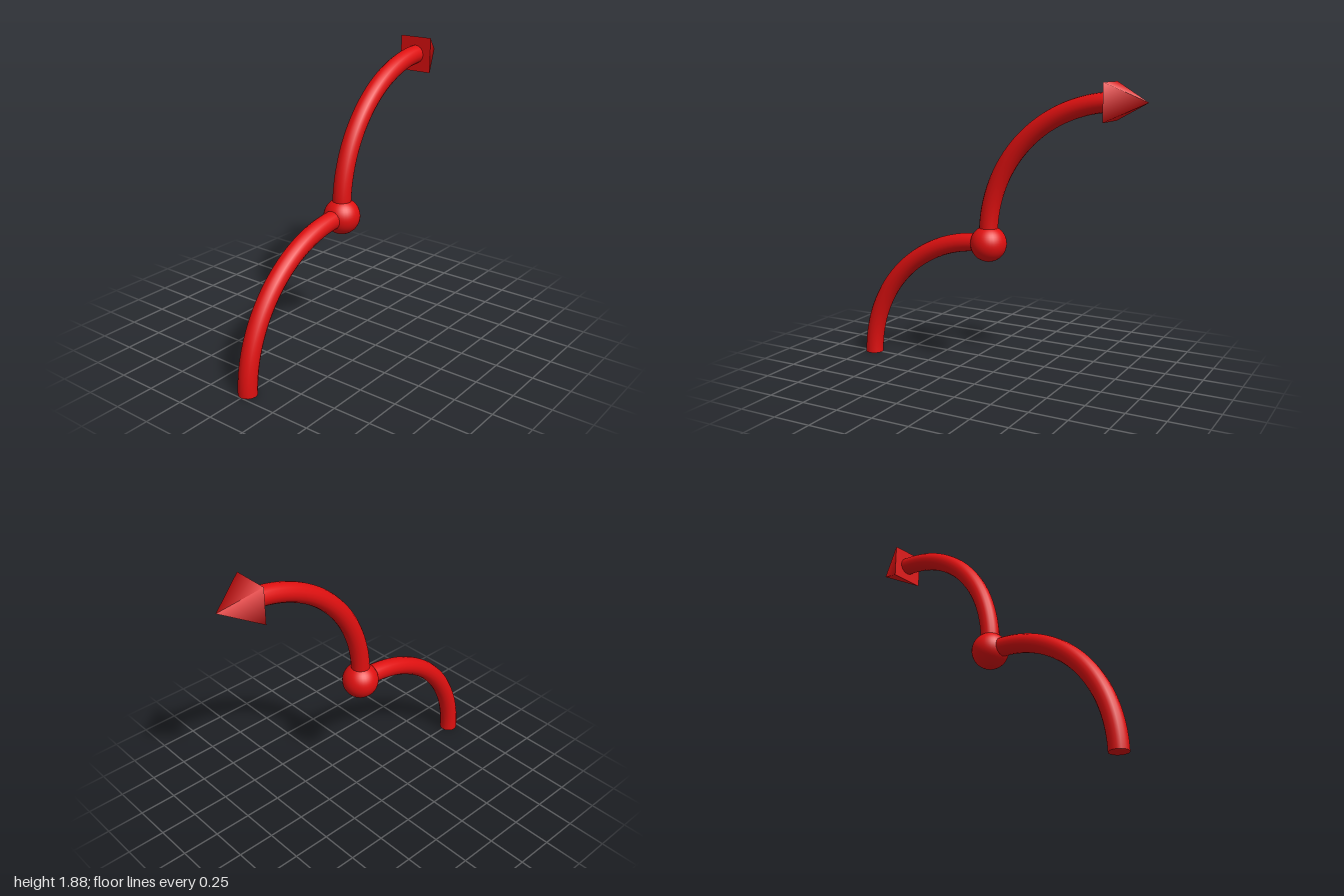
import * as THREE from 'three';

const BEND = 0.855; // radius of both quarter bends
const TUBE = 0.06;

export function createModel() {
  const red = new THREE.MeshStandardMaterial({ color: 0xe01010 });
  red.name = 'red';
  const model = new THREE.Group();
  model.name = 'curvedArrow';

  const add = (parent, name, geometry, x, y) => {
    const mesh = new THREE.Mesh(geometry, red);
    mesh.name = name;
    mesh.position.set(x, y, 0);
    parent.add(mesh);
    return mesh;
  };

  // Quarter bend around a centre, from pointing up on the left to level at the top
  const addBend = (name, x, y) => {
    const bend = new THREE.Group();
    bend.name = name;
    bend.position.set(x, y, 0);
    const arc = new THREE.TorusGeometry(BEND, TUBE, 16, 48, Math.PI / 2).rotateZ(Math.PI / 2);
    add(bend, name + 'Tube', arc, 0, 0);
    // flat caps on both ends
    add(bend, name + 'LowerCap', new THREE.CircleGeometry(TUBE, 16).rotateX(Math.PI / 2), -BEND, 0);
    add(bend, name + 'UpperCap', new THREE.CircleGeometry(TUBE, 16).rotateY(Math.PI / 2), 0, BEND);
    model.add(bend);
  };

  addBend('lowerBend', -0.085, 0);
  addBend('upperBend', 0.82, 0.913);

  // Ball joint between the bends
  add(model, 'ballJoint', new THREE.SphereGeometry(0.117, 32, 24), -0.034, 0.855);

  // Square pyramid tip pointing along +x
  const tip = new THREE.ConeGeometry(0.163, 0.235, 4).rotateY(Math.PI / 4).rotateZ(-Math.PI / 2);
  add(model, 'arrowTip', tip, 0.8825, 1.768);

  return model;
}
